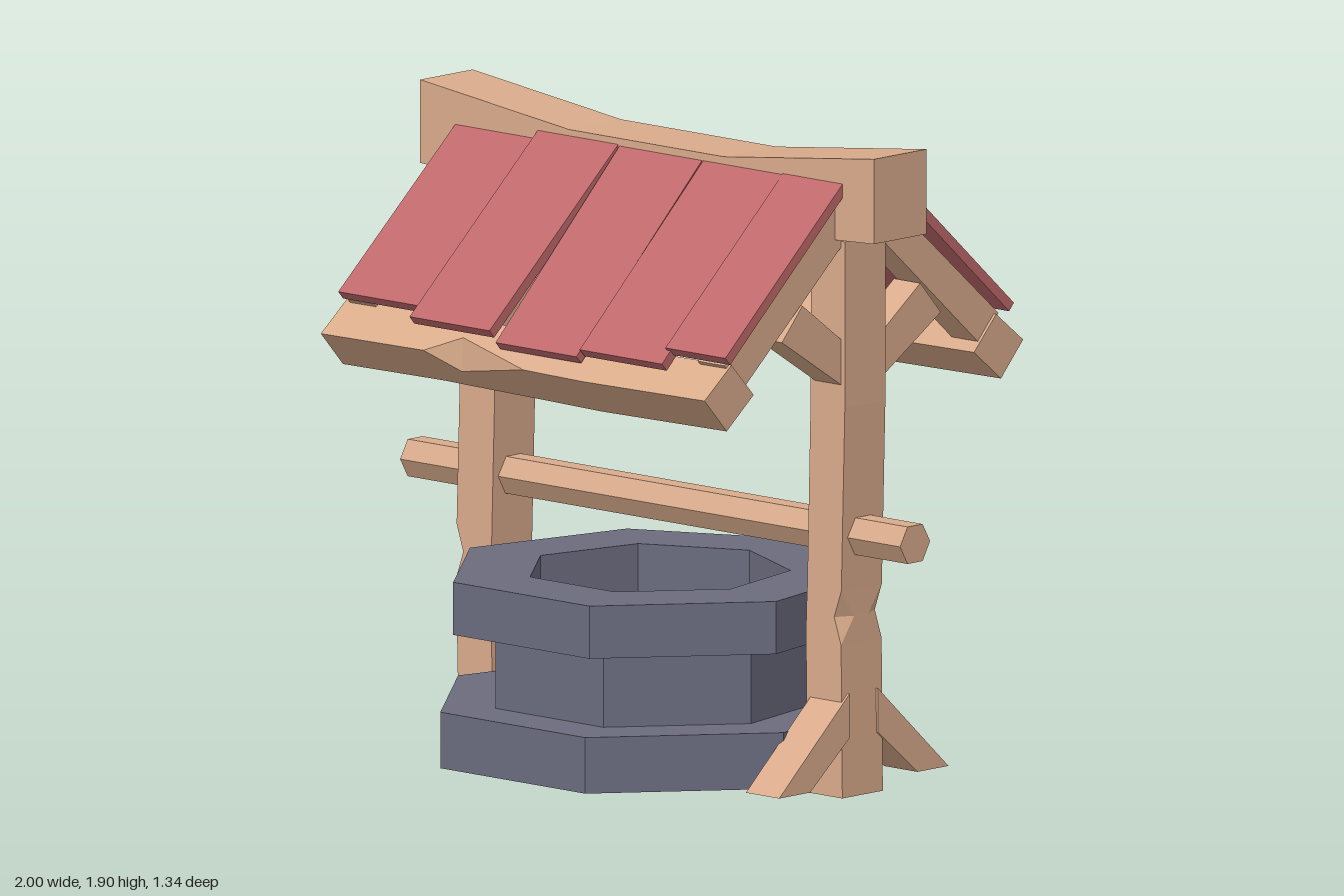
import * as THREE from 'three';

const material = (color) => new THREE.MeshStandardMaterial({ color, flatShading: true });

// Skin a list of equal-length convex loops and cap both ends
function loft(loops) {
  const tris = [];
  const n = loops[0].length;
  for (let s = 0; s < loops.length - 1; s++) {
    for (let i = 0; i < n; i++) {
      const j = (i + 1) % n;
      const [a, b, c, d] = [loops[s][i], loops[s][j], loops[s + 1][j], loops[s + 1][i]];
      tris.push([a, b, c], [a, c, d]);
    }
  }
  const last = loops[loops.length - 1];
  for (let i = 1; i < n - 1; i++) {
    tris.push([loops[0][0], loops[0][i + 1], loops[0][i]], [last[0], last[i], last[i + 1]]);
  }
  // A negative enclosed volume means the faces point inward
  let volume = 0;
  for (const [a, b, c] of tris) {
    volume += new THREE.Vector3(...a).dot(new THREE.Vector3(...b).cross(new THREE.Vector3(...c)));
  }
  if (volume < 0) tris.forEach((t) => t.reverse());
  const geometry = new THREE.BufferGeometry();
  geometry.setAttribute('position', new THREE.Float32BufferAttribute(tris.flat(2), 3));
  geometry.computeVertexNormals();
  return geometry;
}

// Side outline of [z, y] points, stretched from x0 to x1
const prism = (outline, x0, x1) =>
  loft([x0, x1].map((x) => outline.map(([z, y]) => [x, y, z])));

export function createModel() {
  const model = new THREE.Group();
  const wood = material(0xd9ab8b);
  const stone = material(0x6b6c7e);
  const red = material(0xbf696b);
  const add = (name, geometry, mat) => {
    const mesh = new THREE.Mesh(geometry, mat);
    mesh.name = name;
    model.add(mesh);
    return mesh;
  };

  // Seven-sided stone well with three courses and a hollow shaft
  const profile = [
    [0, 0.03], [0.668, 0.03], [0.668, 0.195], [0.4975, 0.195], [0.4975, 0.42],
    [0.628, 0.42], [0.628, 0.575], [0.39, 0.575], [0.39, 0.1], [0, 0.1],
  ].map(([r, y]) => new THREE.Vector2(r, y));
  const well = add('stoneWell', new THREE.LatheGeometry(profile, 7, Math.PI / 7), stone);
  well.position.set(0.02, 0, 0.058);

  // Crooked posts, [y, xInner, xOuter, nick], nicked on the outer corners
  const posts = {
    leftPost: [[0, 0.65, 0.79, 0], [0.45, 0.645, 0.785, 0], [0.53, 0.646, 0.785, 0.055],
      [0.61, 0.65, 0.786, 0], [1.15, 0.663, 0.8, 0], [1.64, 0.665, 0.8, 0]],
    rightPost: [[0.02, -0.61, -0.745, 0], [0.45, -0.615, -0.755, 0], [0.53, -0.614, -0.754, 0.055],
      [0.61, -0.612, -0.753, 0], [1.15, -0.597, -0.737, 0], [1.64, -0.597, -0.735, 0]],
  };
  for (const [name, rows] of Object.entries(posts)) {
    add(name, loft(rows.map(([y, xi, xo, nick]) => {
      const w = 0.085;
      const xn = xo - Math.sign(xo) * nick * 0.5;
      return [[xi, y, -w], [xn, y, -w], [xo, y, nick - w], [xo, y, w - nick], [xn, y, w], [xi, y, w]];
    })), wood);
  }

  // Hexagonal winding bar
  const bar = add('windingBar', new THREE.CylinderGeometry(0.063, 0.063, 2, 6), wood);
  bar.rotation.z = Math.PI / 2;
  bar.position.y = 0.765;

  // Sagging ridge beam, [x, bottom, top]
  const ridge = [[-0.875, 1.66, 1.905], [-0.28, 1.625, 1.835], [0.34, 1.625, 1.835], [0.94, 1.655, 1.905]];
  add('ridgeBeam', loft(ridge.map(([x, b, t]) =>
    [[x, b, -0.11], [x, b, 0.11], [x, t, 0.11], [x, t, -0.11]])), wood);

  // Eave beam along x, [x, sag, nick], with a chip in its outer edge
  const eave = [[-0.74, 0, 0], [-0.33, 0.004, 0], [-0.22, 0.002, 0.07], [0.07, -0.002, 0],
    [0.3, -0.006, 0], [0.795, 0, 0]];

  // Roof boards: x range at top, x range at bottom, top y, lower edge z and y
  const boards = [
    [-0.735, -0.408, -0.735, -0.405, 1.8, 0.6, 1.365],
    [-0.405, -0.083, -0.388, -0.068, 1.825, 0.665, 1.345],
    [-0.078, 0.252, -0.063, 0.26, 1.822, 0.645, 1.308],
    [0.257, 0.585, 0.264, 0.593, 1.822, 0.635, 1.328],
    [0.576, 0.815, 0.578, 0.818, 1.825, 0.605, 1.37],
  ];

  for (const side of [1, -1]) {
    const label = side > 0 ? 'front' : 'back';
    const flip = (outline) => outline.map(([z, y]) => [z * side, y]);

    add(`${label}EaveBeam`, loft(eave.map(([x, sag, k]) => [
      [0.575, 1.148 + sag], [0.668 - k * 0.66, 1.25 + sag - k * 0.75],
      [0.668 - k * 0.75, 1.25 + sag + k * 0.66], [0.555, 1.34 + sag], [0.462, 1.24 + sag],
    ].map(([z, y]) => [x, y, z * side]))), wood);

    boards.forEach(([a0, a1, b0, b1, topY, z, y], i) => {
      const topZ = 0.1;
      // Thickness runs square to the slope
      const along = new THREE.Vector2(z - topZ, y - topY).normalize();
      const dz = along.y * 0.03;
      const dy = -along.x * 0.03;
      const end = (x0, x1, pz, py) => [
        [x0, py, pz * side], [x1, py, pz * side],
        [x1, py + dy, (pz + dz) * side], [x0, py + dy, (pz + dz) * side],
      ];
      add(`${label}RoofBoard${i + 1}`, loft([end(a0, a1, topZ, topY), end(b0, b1, z, y)]), red);
    });

    // Rafters and upper braces at each post
    for (const [end, x0, x1] of [['left', 0.68, 0.785], ['right', -0.72, -0.615]]) {
      add(`${end}${label}Rafter`, prism(flip([
        [0.06, 1.645], [0.5, 1.257], [0.575, 1.34], [0.06, 1.785],
      ]), x0, x1), wood);
      add(`${end}${label}UpperBrace`, prism(flip([
        [0.05, 1.195], [0.333, 1.375], [0.247, 1.472], [0.05, 1.325],
      ]), x0, x1), wood);
    }

    // Foot brace on the left post only
    add(`${label}FootBrace`, prism(flip([
      [0.06, 0.175], [0.225, 0.037], [0.355, 0.037], [0.06, 0.305],
    ]), 0.662, 0.795), wood);
  }

  return model;
}
